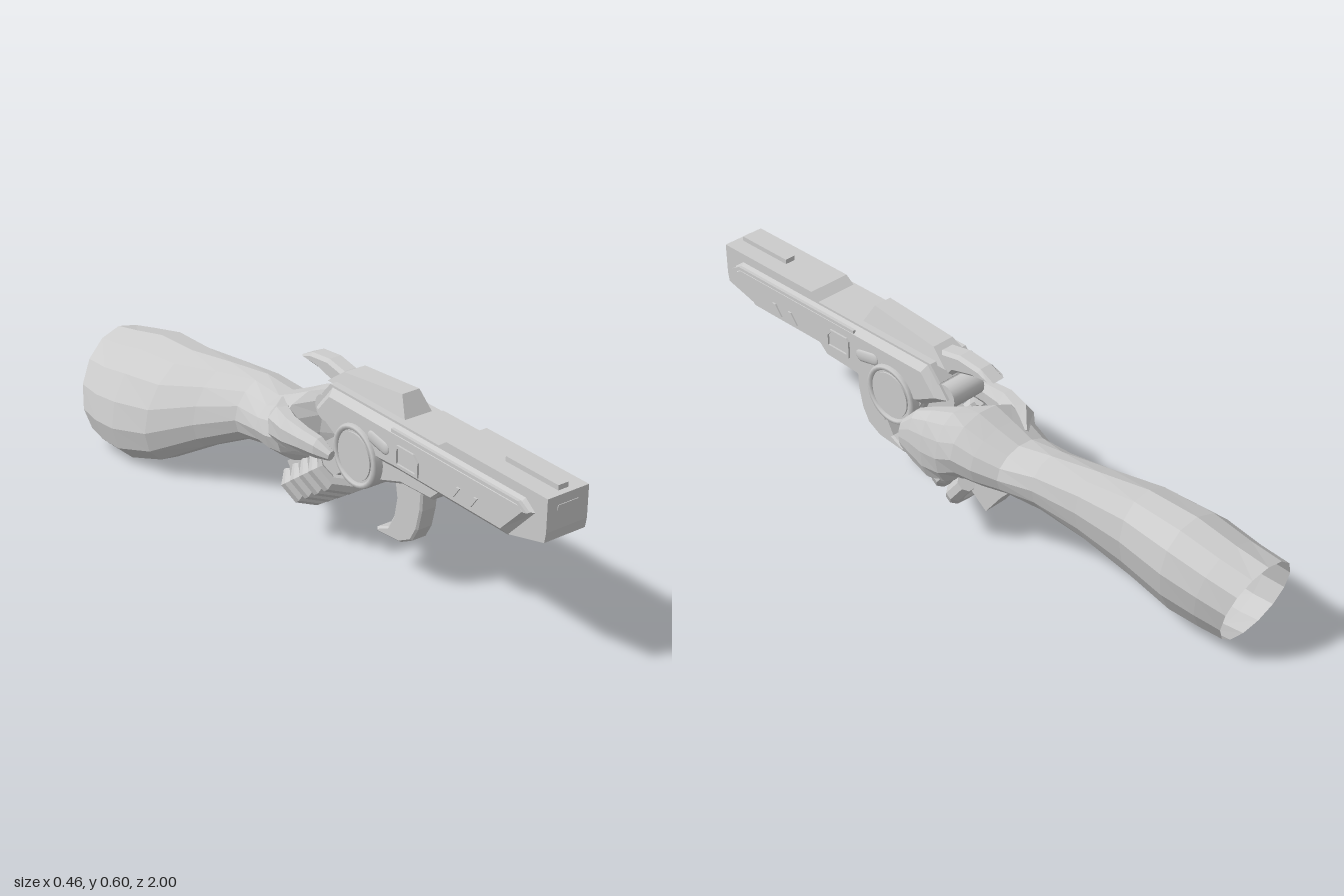
import * as THREE from 'three';

const flat = new THREE.MeshStandardMaterial({ color: 0xcccccc, flatShading: true, side: THREE.DoubleSide });
const smooth = new THREE.MeshStandardMaterial({ color: 0xcccccc });
const GUN_X = 0.057;

function add(parent, name, geometry, material = flat) {
  const mesh = new THREE.Mesh(geometry, material);
  mesh.name = name;
  parent.add(mesh);
  return mesh;
}

// Side profile of [z, y] points extruded across x, centred on x = 0
function profile(points, half, bevel = 0, hole = null) {
  const toVec = p => new THREE.Vector2(p[0], p[1]);
  const shape = new THREE.Shape(points.map(toVec));
  if (hole) shape.holes.push(new THREE.Path(hole.map(toVec)));
  const g = new THREE.ExtrudeGeometry(shape, {
    depth: 2 * (half - bevel), bevelEnabled: bevel > 0, bevelSegments: 1,
    bevelSize: bevel, bevelThickness: bevel, bevelOffset: -bevel,
  });
  return g.translate(0, 0, bevel - half).rotateY(-Math.PI / 2);
}

// Skin over equal-sized rings of Vector3
function loft(rings, capStart, capEnd) {
  const n = rings[0].length, last = (rings.length - 1) * n, index = [];
  for (let i = 0; i < rings.length - 1; i++) {
    for (let j = 0; j < n; j++) {
      const a = i * n + j, b = i * n + (j + 1) % n;
      index.push(a, b, b + n, a, b + n, a + n);
    }
  }
  for (let j = 1; j < n - 1; j++) {
    if (capStart) index.push(0, j + 1, j);
    if (capEnd) index.push(last, last + j, last + j + 1);
  }
  const g = new THREE.BufferGeometry().setFromPoints(rings.flat());
  g.setIndex(index);
  g.computeVertexNormals();
  return g;
}

// Tapered limb along points [x, y, z, halfWidth, halfThickness]
function limb(points, up, sides = 8) {
  const at = i => new THREE.Vector3(...points[i].slice(0, 3));
  const rings = points.map((p, i) => {
    const t = at(Math.min(i + 1, points.length - 1)).sub(at(Math.max(i - 1, 0))).normalize();
    const s = up.clone().cross(t).normalize();
    const u = t.clone().cross(s);
    return Array.from({ length: sides }, (_, k) => {
      const a = (k + 0.5) / sides * Math.PI * 2;
      return at(i).addScaledVector(u, p[3] * Math.sin(a)).addScaledVector(s, p[4] * Math.cos(a));
    });
  });
  return loft(rings, true, true);
}

function buildGun() {
  const gun = new THREE.Group();
  gun.name = 'gun';
  gun.position.x = GUN_X;

  // Barrel core and the wider faceted shell around it
  add(gun, 'barrel', profile([[1, 0.567], [1, 0.47], [0.995, 0.44], [0.86, 0.405], [0.15, 0.405],
    [0.06, 0.5], [0.1, 0.545], [0.575, 0.545], [0.605, 0.567]], 0.07));
  add(gun, 'shell', profile([[0.96, 0.51], [0.86, 0.402], [0.42, 0.402], [0.14, 0.39], [0.035, 0.45],
    [0.11, 0.54], [0.92, 0.54]], 0.09, 0.022));
  add(gun, 'underside', profile([[0.59, 0.41], [0.55, 0.368], [0.42, 0.362], [0.3, 0.32], [0.16, 0.34],
    [0.12, 0.42]], 0.07, 0.008));

  // Sights and muzzle slot
  add(gun, 'frontSight', new THREE.BoxGeometry(0.034, 0.03, 0.2)).position.set(0, 0.567, 0.88);
  add(gun, 'muzzleSlot', new THREE.BoxGeometry(0.07, 0.015, 0.006)).position.set(0, 0.532, 0.999);
  const fin = profile([[0.41, 0.535], [0.37, 0.605], [0.12, 0.58], [0.06, 0.535]], 0.05);
  const fp = fin.attributes.position;
  for (let i = 0; i < fp.count; i++) fp.setX(i, fp.getX(i) * (1 - 0.4 * (fp.getY(i) - 0.535) / 0.07));
  fin.computeVertexNormals();
  add(gun, 'rearFin', fin);

  // Hammer spur and rear roller
  add(gun, 'hammer', profile([[0.13, 0.555], [0.1, 0.57], [0.03, 0.583], [-0.05, 0.575], [-0.1, 0.55],
    [-0.02, 0.538], [0.05, 0.52], [0.08, 0.48], [0.12, 0.47]], 0.03, 0.01));
  add(gun, 'rearRoller', new THREE.CylinderGeometry(0.04, 0.04, 0.12, 20).rotateZ(Math.PI / 2), smooth)
    .position.set(0, 0.45, 0.055);

  // Drum through the frame, with a rim and face on each end
  const drum = new THREE.Group();
  drum.name = 'drum';
  drum.position.set(0, 0.384, 0.245);
  gun.add(drum);
  add(drum, 'drumCore', new THREE.CylinderGeometry(0.096, 0.096, 0.186, 32).rotateZ(Math.PI / 2), smooth);
  for (const s of [-1, 1]) {
    add(drum, 'drumRim', new THREE.TorusGeometry(0.087, 0.009, 6, 32).rotateY(Math.PI / 2), smooth).position.x = s * 0.093;
    add(drum, 'drumFace', new THREE.CylinderGeometry(0.072, 0.072, 0.01, 32).rotateZ(Math.PI / 2), smooth).position.x = s * 0.093;
  }

  // Raised details on both flanks
  const slot = new THREE.CapsuleGeometry(0.02, 0.055, 4, 10);
  slot.rotateX(Math.PI / 2 + 0.2).scale(0.3, 1, 1);
  for (const s of [-1, 1]) {
    for (const z of [0.74, 0.67]) {
      add(gun, 'vent', profile([[z + 0.022, 0.472], [z + 0.008, 0.472], [z - 0.018, 0.438], [z - 0.002, 0.438]]
        .map(([a, b]) => [a, b]), 0.004)).position.x = s * 0.091;
    }
    add(gun, 'sideFrame', profile([[0.52, 0.43], [0.52, 0.475], [0.5, 0.494], [0.43, 0.494], [0.42, 0.485], [0.42, 0.43]],
      0.005, 0, [[0.51, 0.438], [0.51, 0.472], [0.495, 0.486], [0.435, 0.486], [0.43, 0.48], [0.43, 0.438]])).position.x = s * 0.091;
    add(gun, 'sideSlot', slot, smooth).position.set(s * 0.09, 0.466, 0.345);
    add(gun, 'sideRail', profile([[0.95, 0.512], [0.915, 0.532], [0.4, 0.532], [0.4, 0.522], [0.91, 0.522], [0.935, 0.508]],
      0.005)).position.x = s * 0.087;
  }

  // Curved lever below the frame
  add(gun, 'lever', profile([[0.465, 0.38], [0.46, 0.28], [0.445, 0.215], [0.42, 0.17], [0.37, 0.143],
    [0.265, 0.133], [0.265, 0.147], [0.315, 0.17], [0.34, 0.215], [0.352, 0.28], [0.335, 0.38]], 0.03, 0.006));
  return gun;
}

// Frame whose y runs up the slanted grip and z points out of its front
function buildGripAndFingers() {
  const group = new THREE.Group();
  group.name = 'gripAndFingers';
  group.position.set(GUN_X, 0.15, -0.12);
  group.rotation.x = Math.atan2(0.8, 0.6);
  add(group, 'grip', new THREE.BoxGeometry(0.08, 0.35, 0.1)).position.y = 0.175;

  const up = new THREE.Vector3(0, 1, 0);
  ['littleFinger', 'ringFinger', 'middleFinger', 'indexFinger'].forEach((name, i) => {
    const y = 0.09 + i * 0.063, k = 0.88 + 0.04 * i, w = 0.029;
    const path = [[0.12, -0.06, 0.03], [0.125, 0.01, 0.032], [0.1, 0.06, 0.03], [0.04, 0.088, 0.028],
      [-0.05, 0.09, 0.028], [-0.11, 0.065, 0.027], [-0.132, 0.015, 0.024], [-0.115, -0.025, 0.014]];
    add(group, name, limb(path.map(([x, z, h], j) => [x * k, y, z * k + 0.004, j === 7 ? 0.016 : w, h]), up));
  });
  return group;
}

function buildArm() {
  const arm = new THREE.Group();
  arm.name = 'armAndHand';
  // Sections: z, centre x, centre y, half width, half height, shear, slant of the cut
  const sections = [
    [-0.945, -0.07, 0.175, 0.152, 0.167, 0.3, -0.33], [-0.86, -0.065, 0.182, 0.163, 0.18, 0.35, -0.2],
    [-0.75, -0.06, 0.198, 0.17, 0.193, 0.35, -0.08], [-0.6, -0.05, 0.222, 0.15, 0.175, 0.35, 0],
    [-0.45, -0.002, 0.268, 0.118, 0.133, 0.3, 0], [-0.31, 0.04, 0.302, 0.1, 0.1, 0.2, 0],
    [-0.2, 0.05, 0.305, 0.115, 0.083, 0.1, 0], [-0.13, 0.06, 0.32, 0.14, 0.1, 0.1, 0],
    [-0.07, 0.07, 0.335, 0.15, 0.115, 0.1, 0], [-0.02, 0.135, 0.33, 0.095, 0.125, 0, 0],
    [0.04, 0.168, 0.325, 0.063, 0.122, 0, 0], [0.1, 0.178, 0.325, 0.044, 0.095, 0, 0],
    [0.155, 0.185, 0.31, 0.022, 0.05, 0, 0],
  ];
  const sides = 14;
  const rings = sections.map(([z, cx, cy, hx, hy, shear, slant]) => Array.from({ length: sides }, (_, j) => {
    const a = j / sides * Math.PI * 2, dy = hy * Math.sin(a + shear);
    return new THREE.Vector3(cx + hx * Math.cos(a), cy + dy, z + slant * dy);
  }));
  add(arm, 'forearmAndPalm', loft(rings, false, true));

  // Thumb lying along the right flank
  add(arm, 'thumb', limb([[0.02, 0.34, -0.15, 0.06, 0.05], [-0.05, 0.355, -0.08, 0.062, 0.045],
    [-0.07, 0.365, -0.01, 0.052, 0.036], [-0.072, 0.37, 0.06, 0.04, 0.03],
    [-0.068, 0.37, 0.12, 0.034, 0.026], [-0.06, 0.36, 0.168, 0.016, 0.014]], new THREE.Vector3(0, 1, 0)));
  return arm;
}

export function createModel() {
  const model = new THREE.Group();
  model.name = 'handHoldingGun';
  model.add(buildGun(), buildGripAndFingers(), buildArm());
  return model;
}
